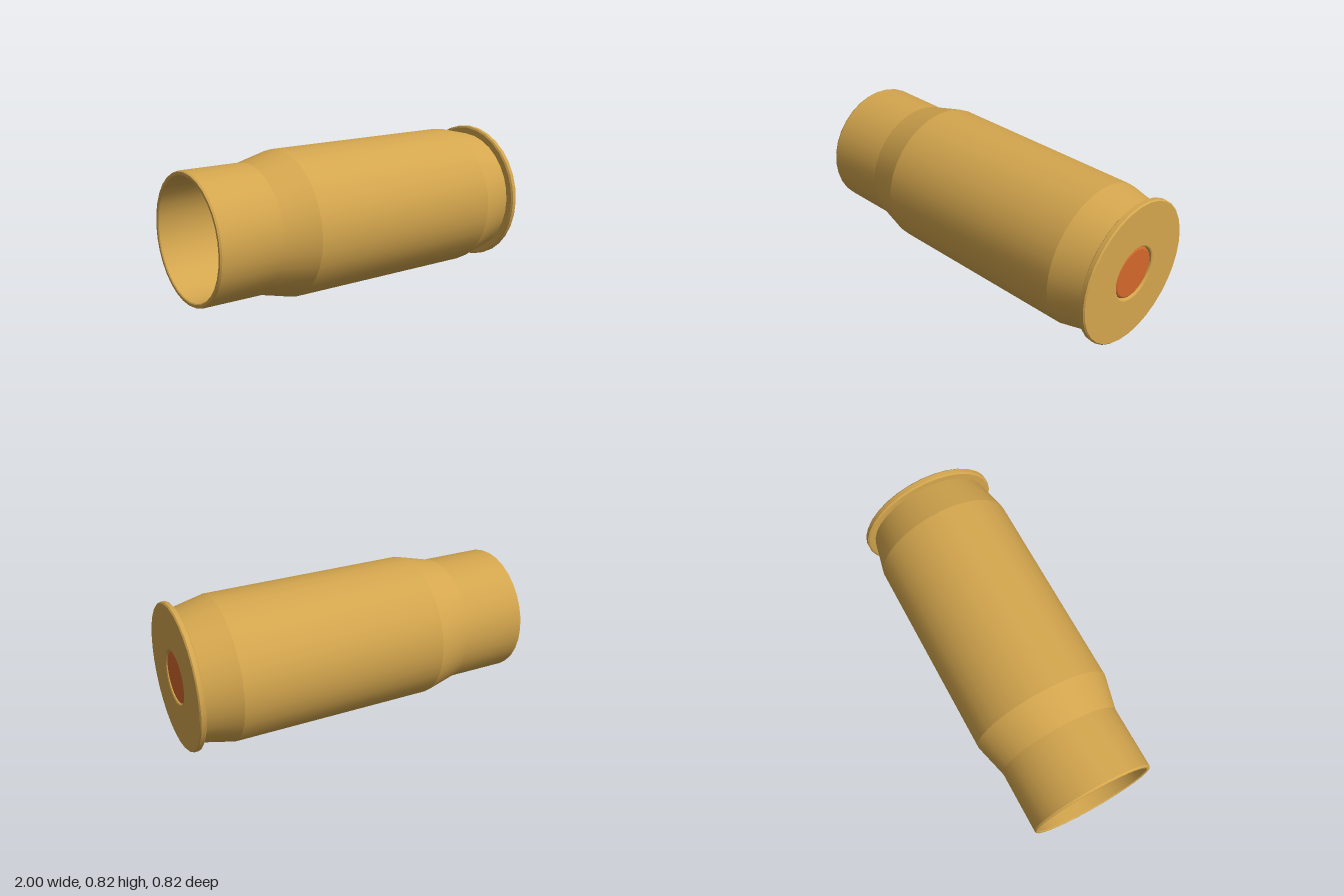
import * as THREE from 'three';
import { toCreasedNormals } from 'three/addons/utils/BufferGeometryUtils.js';

const SIDES = 32;
const AXIS_Y = 0.41;

// Revolve [radius, x] pairs around the horizontal x axis
function turned(name, profile, color) {
  const points = profile.map(([r, x]) => new THREE.Vector2(r, x));
  const lathe = new THREE.LatheGeometry(points, SIDES);
  lathe.rotateZ(-Math.PI / 2);
  // crease shoulder and rim edges, keep the round sides smooth
  const mesh = new THREE.Mesh(
    toCreasedNormals(lathe, 0.21),
    new THREE.MeshStandardMaterial({ color })
  );
  mesh.name = name;
  mesh.position.y = AXIS_Y;
  return mesh;
}

export function createModel() {
  const group = new THREE.Group();
  group.name = 'cartridgeCase';

  // Hollow case: bore, mouth, neck, shoulder, body, groove, rim, primer pocket
  group.add(turned('caseBody', [
    [0, 0.86], [0.34, 0.86], [0.38, 0.76], [0.38, -0.43],
    [0.335, -0.63], [0.335, -0.995], [0.34, -1],
    [0.355, -1], [0.36, -0.99], [0.36, -0.63],
    [0.41, -0.43], [0.41, 0.76],
    [0.365, 0.96], [0.4, 0.963], [0.41, 0.97],
    [0.41, 0.993], [0.403, 1],
    [0.158, 1], [0.151, 0.996], [0.148, 0.988], [0.148, 0.95],
  ], 0xd4a64e));

  // Primer cup with a rounded edge, set just below the head face
  group.add(turned('primer', [
    [0.147, 0.95], [0.147, 0.982], [0.143, 0.99], [0.135, 0.994], [0, 0.994],
  ], 0xd4692c));

  return group;
}
